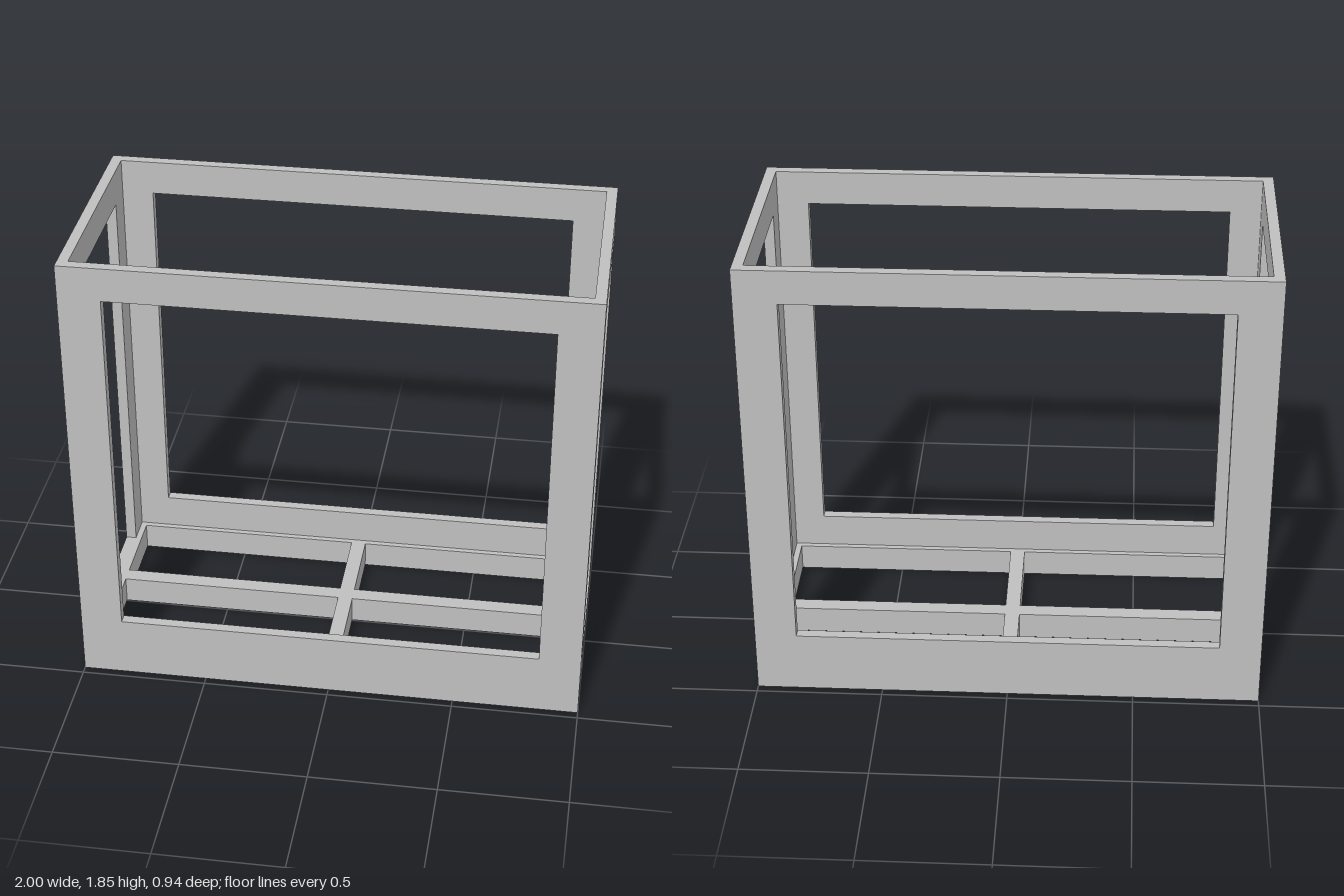
import * as THREE from 'three';

const W = 2, H = 1.85, D = 0.936; // overall size
const T = 0.042;                  // wall thickness

const grey = new THREE.MeshStandardMaterial({ color: 0xbfbfbf });
grey.name = 'frame grey';

// Rectangular outline from two corners
function rect(Kind, x0, y0, x1, y1) {
  return new Kind([[x0, y0], [x1, y0], [x1, y1], [x0, y1]].map(([x, y]) => new THREE.Vector2(x, y)));
}

// Flat panel with rectangular openings, extruded from z = 0 to z = depth
function panel(name, outer, holes, depth) {
  const shape = rect(THREE.Shape, ...outer);
  holes.forEach((h) => shape.holes.push(rect(THREE.Path, ...h)));
  const geometry = new THREE.ExtrudeGeometry(shape, { depth, bevelEnabled: false });
  const mesh = new THREE.Mesh(geometry, grey);
  mesh.name = name;
  return mesh;
}

export function createModel() {
  const model = new THREE.Group();
  model.name = 'openFrameCabinet';

  // Front and back frames, full width
  for (const [name, z] of [['frontFrame', D / 2 - T], ['backFrame', -D / 2]]) {
    const frame = panel(name, [-W / 2, 0, W / 2, H], [[-0.835, 0.25, 0.835, 1.715]], T);
    frame.position.z = z;
    model.add(frame);
  }

  // Side frames, fitted between front and back
  const half = D / 2 - T;
  for (const [name, x] of [['leftFrame', W / 2 - T], ['rightFrame', -W / 2]]) {
    const frame = panel(name, [-half, 0, half, H], [[-0.305, 0.11, 0.305, 1.715]], T);
    frame.rotation.y = Math.PI / 2;
    frame.position.x = x;
    model.add(frame);
  }

  // Floor grid with four openings; shape y becomes -z
  const holes = [];
  for (const [x0, x1] of [[-0.934, -0.03], [0.03, 0.934]]) {
    for (const [z0, z1] of [[-0.403, -0.07], [-0.004, 0.403]]) holes.push([x0, -z1, x1, -z0]);
  }
  const floor = panel('floorGrid', [-W / 2 + T, -half, W / 2 - T, half], holes, 0.11);
  floor.rotation.x = -Math.PI / 2;
  model.add(floor);

  return model;
}
